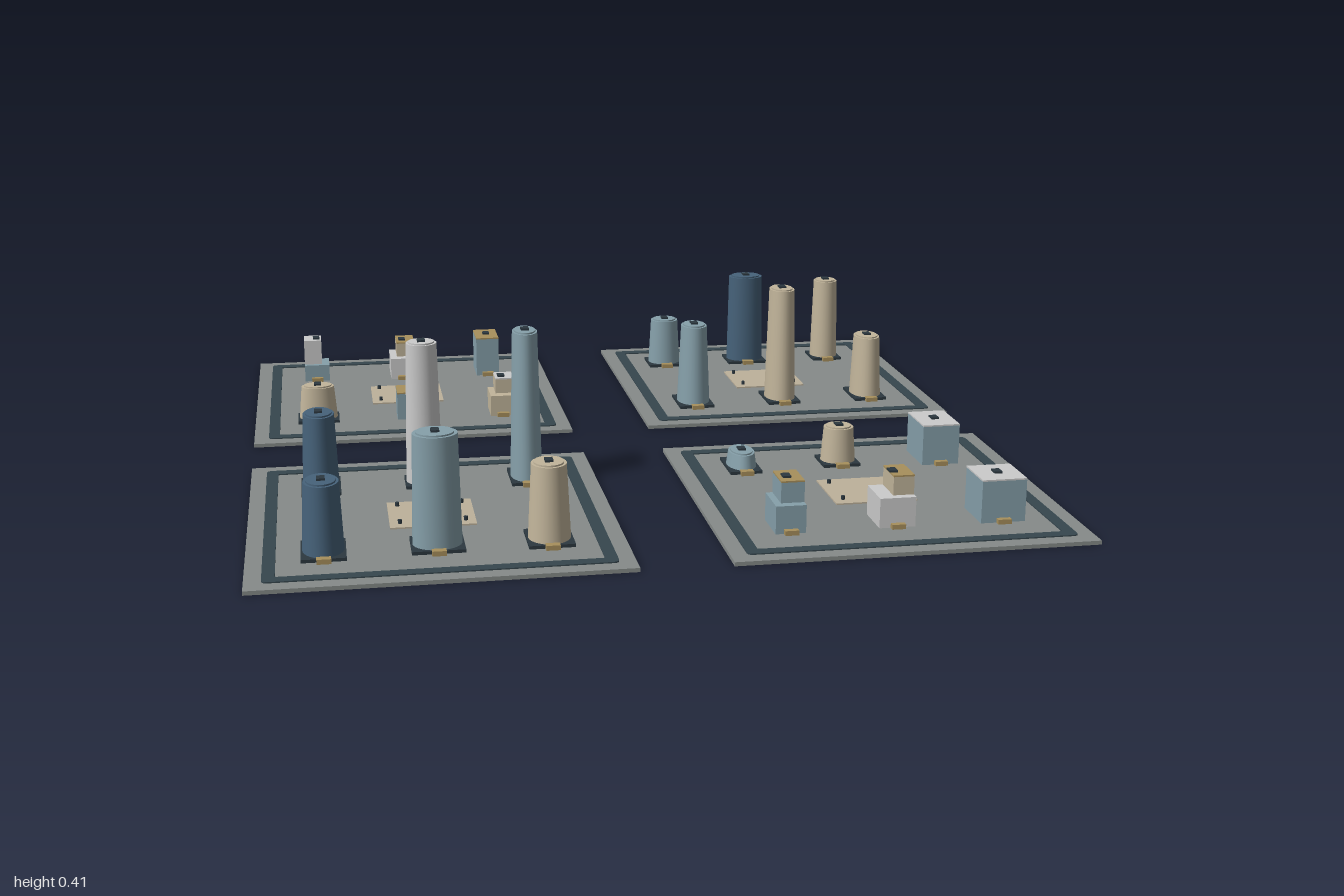
import * as THREE from 'three';

const mat = (c) => new THREE.MeshStandardMaterial({ color: c });
const M = {
  ground: mat(0x868b89), road: mat(0x36464e), plaza: mat(0xbdb19b), dark: mat(0x2c3840),
  tan: mat(0xc2b59b), blue: mat(0x86a0aa), navy: mat(0x46627a), white: mat(0xc6cac8), ochre: mat(0xa8905c),
};
const GROUND = 0.01;

function add(parent, name, geometry, material, x, y, z) {
  const mesh = new THREE.Mesh(geometry, material);
  mesh.name = name;
  mesh.position.set(x, y, z);
  parent.add(mesh);
  return mesh;
}

// Box standing on height y
function box(parent, name, m, w, h, d, x, y, z) {
  return add(parent, name, new THREE.BoxGeometry(w, h, d), M[m], x, y + h / 2, z);
}

// Square outline with rounded corners
function roundedSquare(target, s, r) {
  target.moveTo(-s + r, -s);
  target.lineTo(s - r, -s).quadraticCurveTo(s, -s, s, -s + r);
  target.lineTo(s, s - r).quadraticCurveTo(s, s, s - r, s);
  target.lineTo(-s + r, s).quadraticCurveTo(-s, s, -s, s - r);
  target.lineTo(-s, -s + r).quadraticCurveTo(-s, -s, -s + r, -s);
  return target;
}

// Ground slab, ring road and central plaza with four bollards
function cityBlock(cx, cz) {
  const g = new THREE.Group();
  g.name = 'cityBlock';
  g.position.set(cx, 0, cz);
  box(g, 'groundSlab', 'ground', 0.89, GROUND, 0.89, 0, 0, 0);
  const ring = roundedSquare(new THREE.Shape(), 0.405, 0.015);
  ring.holes.push(roundedSquare(new THREE.Path(), 0.375, 0.005));
  const road = new THREE.ExtrudeGeometry(ring, { depth: 0.003, bevelEnabled: false, curveSegments: 4 });
  road.rotateX(-Math.PI / 2);
  add(g, 'ringRoad', road, M.road, 0, GROUND, 0);
  box(g, 'plaza', 'plaza', 0.21, 0.004, 0.19, 0, GROUND, 0);
  for (const sx of [-1, 1]) for (const sz of [-1, 1])
    add(g, 'bollard', new THREE.CylinderGeometry(0.005, 0.005, 0.012, 8), M.dark, sx * 0.08, GROUND + 0.008, sz * 0.065);
  return g;
}

// Shared details: rooftop plant box and front entrance canopy
function details(g, top, d, z = 0) {
  box(g, 'roofBox', 'dark', 0.02, 0.005, 0.026, 0, top, z);
  box(g, 'entranceCanopy', 'ochre', 0.034, 0.012, 0.02, 0, GROUND, d / 2 + 0.005);
}

// Tapered oval tower on a dark rectangular footing, w by d
function ovalTower(x, z, m, w, d, h, taper = 0.84) {
  const g = new THREE.Group();
  g.name = 'ovalTower';
  g.position.set(x, 0, z);
  box(g, 'footing', 'dark', w, 0.008, d, 0, GROUND, 0);
  const base = 0.47, tip = base * taper, bodyH = h - GROUND - 0.005;
  const body = add(g, 'towerBody', new THREE.CylinderGeometry(tip, base, bodyH, 28), M[m], 0, GROUND + bodyH / 2, 0);
  body.scale.set(w, 1, d);
  const rim = add(g, 'roofCap', new THREE.CylinderGeometry(tip * 0.85, tip * 0.85, 0.004, 28), M[m], 0, h - 0.003, 0);
  rim.scale.set(w, 1, d);
  details(g, h - 0.001, d);
  return g;
}

// Box building; an optional upper tier is pushed to the right and back
function boxBuilding(x, z, m, roof, w, d, h, tier) {
  const g = new THREE.Group();
  g.name = 'boxBuilding';
  g.position.set(x, 0, z);
  box(g, 'lowerBlock', m, w, h - GROUND - 0.004, d, 0, GROUND, 0);
  box(g, 'lowerRoof', tier ? m : roof, w, 0.004, d, 0, h - 0.004, 0);
  let top = h, tz = 0;
  if (tier) {
    const tx = tier.side * (w - tier.w) / 2;
    tz = -(d - tier.d) / 2;
    box(g, 'upperBlock', tier.m, tier.w, tier.top - h - 0.004, tier.d, tx, h, tz);
    box(g, 'upperRoof', roof, tier.w, 0.004, tier.d, tx, tier.top - 0.004, tz);
    top = tier.top;
  }
  details(g, top, d, tz * 0.5);
  return g;
}

export function createModel() {
  const model = new THREE.Group();
  model.name = 'cityBlocks';
  for (const sx of [-1, 1]) for (const sz of [-1, 1]) model.add(cityBlock(sx * 0.555, sz * 0.555));

  // Oval towers: x, z, colour, footing width, footing depth, height, taper
  const towers = [
    [-0.82, 0.305, 'navy', 0.1, 0.133, 0.215],
    [-0.555, 0.305, 'white', 0.1, 0.096, 0.39],
    [-0.29, 0.305, 'blue', 0.088, 0.133, 0.41, 0.78],
    [-0.82, 0.78, 'navy', 0.105, 0.133, 0.19],
    [-0.555, 0.78, 'blue', 0.126, 0.112, 0.293, 0.9],
    [-0.29, 0.78, 'tan', 0.11, 0.122, 0.207, 0.82],
    [0.285, -0.8, 'blue', 0.107, 0.103, 0.16],
    [0.55, -0.8, 'navy', 0.122, 0.103, 0.293, 0.92],
    [0.815, -0.8, 'tan', 0.092, 0.103, 0.27],
    [0.285, -0.33, 'blue', 0.102, 0.133, 0.253, 0.78],
    [0.55, -0.33, 'tan', 0.096, 0.133, 0.353, 0.8],
    [0.815, -0.33, 'tan', 0.096, 0.133, 0.2, 0.82],
    [0.285, 0.305, 'blue', 0.085, 0.133, 0.06],
    [0.55, 0.305, 'tan', 0.1, 0.096, 0.115],
    [-0.82, -0.33, 'tan', 0.117, 0.09, 0.115],
  ];
  for (const t of towers) model.add(ovalTower(...t));

  // Box buildings: x, z, wall, roof, width, depth, height, upper tier
  const buildings = [
    [0.815, 0.305, 'blue', 'white', 0.1, 0.133, 0.12],
    [0.815, 0.78, 'blue', 'white', 0.112, 0.117, 0.12],
    [0.285, 0.78, 'blue', 'ochre', 0.075, 0.107, 0.08, { m: 'blue', w: 0.058, d: 0.085, top: 0.135, side: 1 }],
    [0.55, 0.78, 'white', 'ochre', 0.09, 0.105, 0.085, { m: 'tan', w: 0.052, d: 0.085, top: 0.135, side: 1 }],
    [-0.82, -0.8, 'blue', 'white', 0.075, 0.085, 0.06, { m: 'white', w: 0.053, d: 0.07, top: 0.135, side: -1 }],
    [-0.555, -0.8, 'white', 'ochre', 0.075, 0.122, 0.075, { m: 'tan', w: 0.055, d: 0.092, top: 0.12, side: 1 }],
    [-0.29, -0.8, 'blue', 'ochre', 0.07, 0.115, 0.13],
    [-0.555, -0.33, 'blue', 'ochre', 0.08, 0.085, 0.09],
    [-0.29, -0.33, 'tan', 'white', 0.07, 0.1, 0.07, { m: 'tan', w: 0.053, d: 0.07, top: 0.115, side: 1 }],
  ];
  for (const b of buildings) model.add(boxBuilding(...b));

  return model;
}
